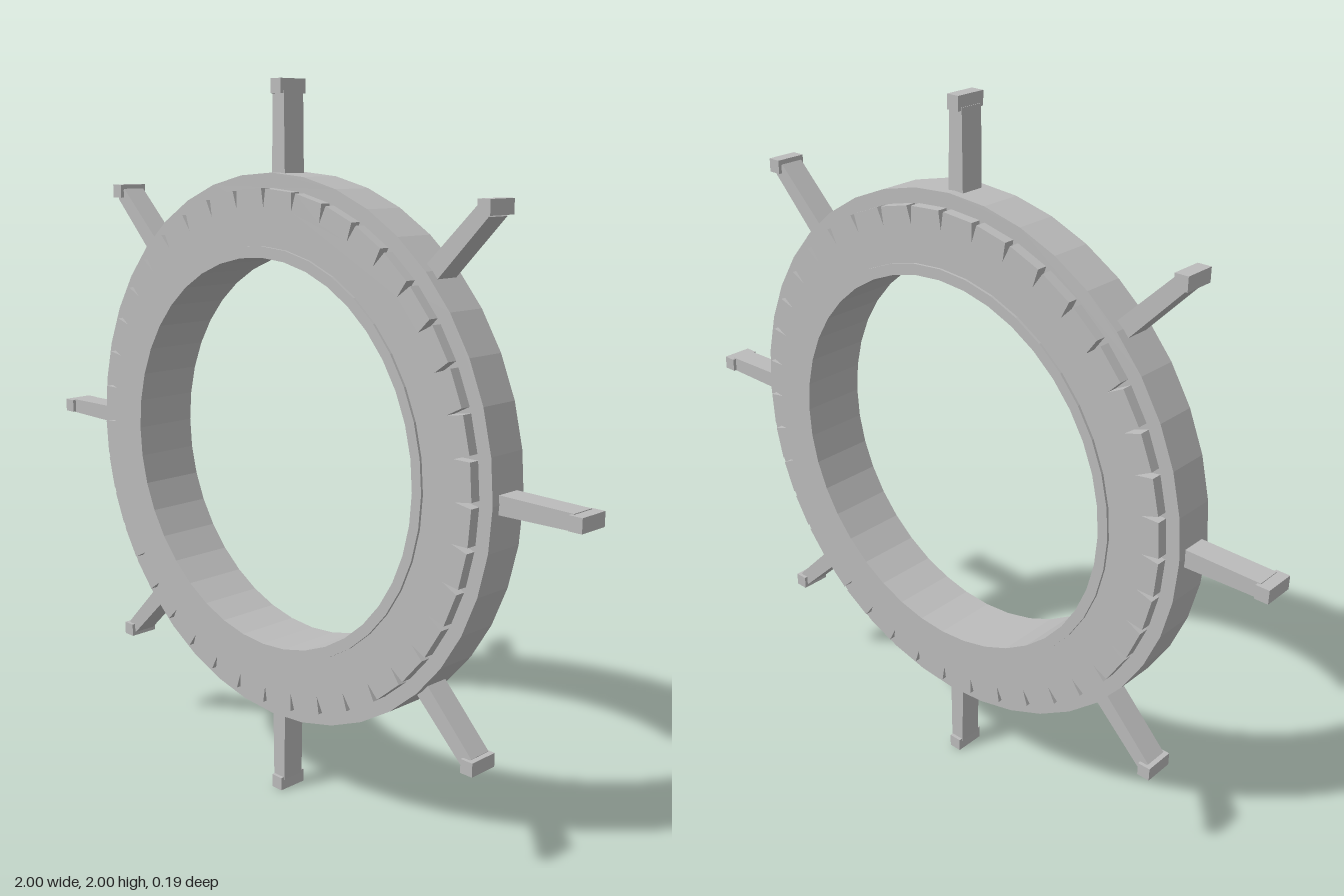
import * as THREE from 'three';

const SIDES = 40;
const polar = (r, a) => new THREE.Vector2(r * Math.cos(a), r * Math.sin(a));

// Faceted circle
function circle(r) {
  return Array.from({ length: SIDES }, (_, i) => polar(r, (i / SIDES) * Math.PI * 2));
}

// Circle with a thin wedge cut at every corner
function notchedCircle(r, depth, width) {
  const pts = [];
  const half = width / 2 / r;
  for (let i = 0; i < SIDES; i++) {
    const a = (i / SIDES) * Math.PI * 2;
    pts.push(polar(r, a - half), polar(r - depth, a), polar(r, a + half));
  }
  return pts;
}

// Flat ring from z0 to z1
function ring(outline, innerRadius, z0, z1) {
  const shape = new THREE.Shape(outline);
  shape.holes.push(new THREE.Path(circle(innerRadius)));
  const geo = new THREE.ExtrudeGeometry(shape, { depth: z1 - z0, bevelEnabled: false });
  return geo.translate(0, 0, z0);
}

export function createModel() {
  const model = new THREE.Group();
  model.name = 'spokedRing';
  const grey = new THREE.MeshStandardMaterial({ color: 0xbbbbbb });
  grey.name = 'grey';

  const wheel = new THREE.Group();
  wheel.name = 'wheel';
  wheel.position.y = 1;
  model.add(wheel);

  const add = (name, geo, parent = wheel) => {
    const mesh = new THREE.Mesh(geo, grey);
    mesh.name = name;
    parent.add(mesh);
    return mesh;
  };

  // Ring body: wide band, notched plates on both faces, raised inner lips
  add('outerBand', ring(circle(0.76), 0.54, -0.06, 0.06));
  const notched = notchedCircle(0.72, 0.05, 0.016);
  add('frontNotchedPlate', ring(notched, 0.54, 0.06, 0.09));
  add('backNotchedPlate', ring(notched, 0.54, -0.09, -0.06));
  add('frontLip', ring(circle(0.57), 0.54, 0.09, 0.097));
  add('backLip', ring(circle(0.57), 0.54, -0.097, -0.09));

  // Spoke: box along +y, slightly narrower at its outer end
  const spokeGeo = new THREE.BoxGeometry(0.05, 0.24, 0.07).translate(0, 0.85, 0);
  const pos = spokeGeo.attributes.position;
  for (let i = 0; i < pos.count; i++) {
    if (pos.getY(i) > 0.9) pos.setX(i, pos.getX(i) * 0.84);
  }
  spokeGeo.computeVertexNormals();
  const tipGeo = new THREE.BoxGeometry(0.038, 0.038, 0.09);

  // Eight spokes, each with an upright square tip
  for (let i = 0; i < 8; i++) {
    const a = (i * Math.PI) / 4;
    add('spoke', spokeGeo).rotation.z = a;
    add('spokeTip', tipGeo).position.set(-0.981 * Math.sin(a), 0.981 * Math.cos(a), 0);
  }
  return model;
}
